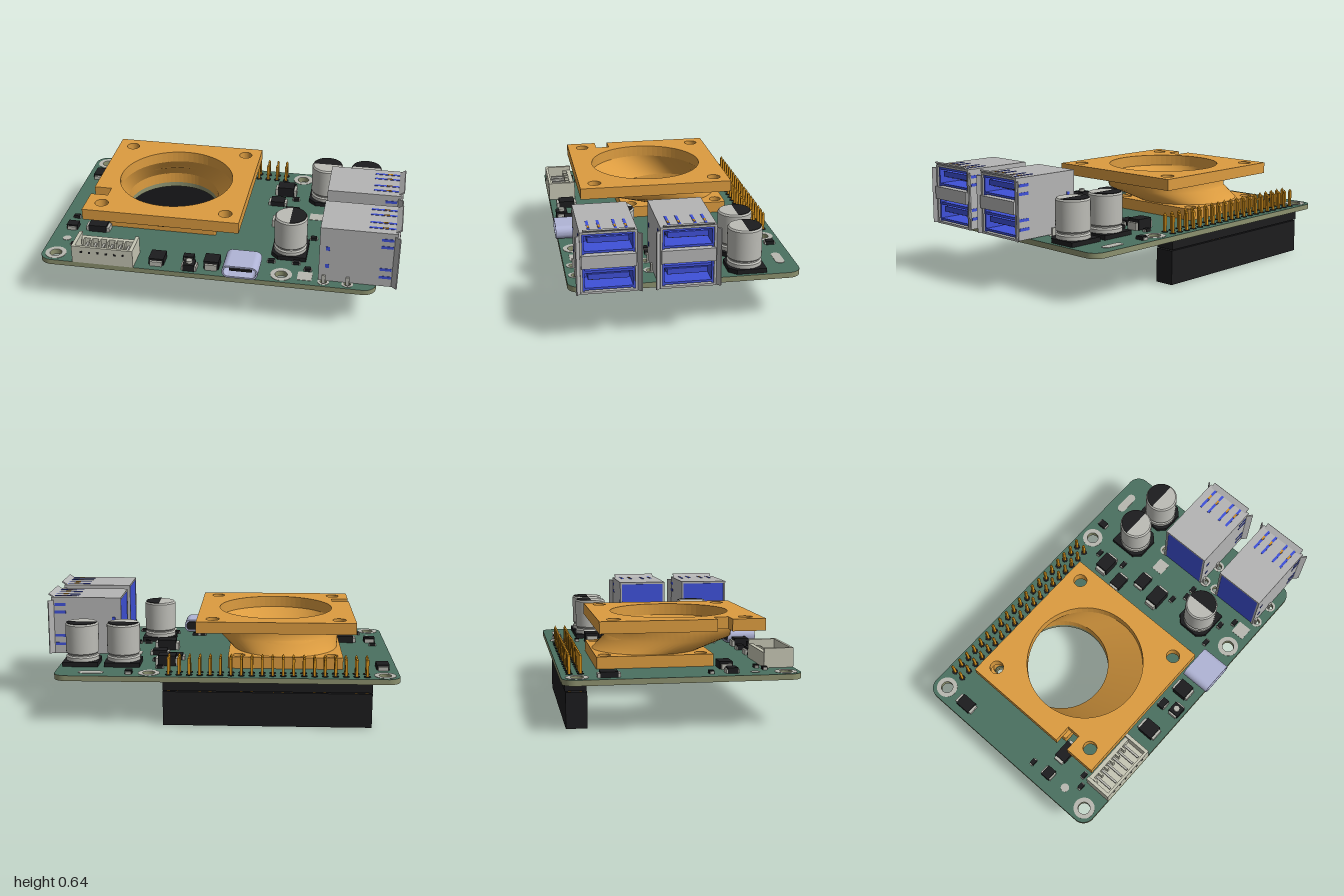
import * as THREE from 'three';
import { mergeGeometries } from 'three/addons/utils/BufferGeometryUtils.js';

const mat = (color, side = THREE.FrontSide) => new THREE.MeshStandardMaterial({ color, side });
const M = {
  green: mat(0x4a7060), edge: mat(0x8c916e), orange: mat(0xdc9c40, THREE.DoubleSide), black: mat(0x1c1c1e),
  gold: mat(0xd8931c), steel: mat(0xb4b4b4), blue: mat(0x3f51d8), lilac: mat(0xb0b4d6),
  cream: mat(0xc6c6b4), can: mat(0xbcbcb6), pad: mat(0xb8b8b0), white: mat(0xdedede),
};

const mesh = (name, geo, m) => {
  const o = new THREE.Mesh(geo, m);
  o.name = name;
  return o;
};
// box given by its x, y and z ranges
const box = (x0, x1, y0, y1, z0, z1) =>
  new THREE.BoxGeometry(x1 - x0, y1 - y0, z1 - z0).translate((x0 + x1) / 2, (y0 + y1) / 2, (z0 + z1) / 2);
const boxes = (name, list, m) => mesh(name, mergeGeometries(list.map((b) => box(...b))), m);

// rounded rectangle in plan; shape y is -z
function plan(x0, x1, z0, z1, r) {
  const s = new THREE.Shape();
  s.absarc(x1 - r, -z0 - r, r, 0, Math.PI / 2);
  s.absarc(x0 + r, -z0 - r, r, Math.PI / 2, Math.PI);
  s.absarc(x0 + r, -z1 + r, r, Math.PI, Math.PI * 1.5);
  s.absarc(x1 - r, -z1 + r, r, Math.PI * 1.5, Math.PI * 2);
  s.closePath();
  return s;
}
const hole = (s, x, z, r) => s.holes.push(new THREE.Path().absarc(x, -z, r, 0, Math.PI * 2, true));
const slab = (s, y, h, curveSegments = 32) =>
  new THREE.ExtrudeGeometry(s, { depth: h, bevelEnabled: false, curveSegments }).rotateX(-Math.PI / 2).translate(0, y, 0);
const ring = (x, z, r0, r1, y, h) => {
  const s = new THREE.Shape().absarc(x, -z, r1, 0, Math.PI * 2);
  hole(s, x, z, r0);
  return slab(s, y, h, 16);
};

// tube skin through circles [y, centreX, centreZ, radius]
function loft(rings, n = 64) {
  const pos = [], idx = [];
  rings.forEach(([y, cx, cz, r], j) => {
    for (let i = 0; i <= n; i++) {
      const a = (i / n) * Math.PI * 2;
      pos.push(cx + r * Math.cos(a), y, cz + r * Math.sin(a));
      if (j && i < n) {
        const b = j * (n + 1) + i, p = b - n - 1;
        idx.push(p, p + 1, b, b, p + 1, b + 1);
      }
    }
  });
  const g = new THREE.BufferGeometry();
  g.setAttribute('position', new THREE.Float32BufferAttribute(pos, 3));
  g.setIndex(idx);
  g.computeVertexNormals();
  return g;
}

const TOP = 0.28, BOT = 0.25;
const DUCT = [-0.38, -0.12];
const tabs = [0.605, 0.735].flatMap((x) => [-0.155, 0.165, 0.245, 0.565].map((z) => [x, z]));
const ductScrews = [-0.26, 0.26].flatMap((a) => [-0.26, 0.26].map((b) => [DUCT[0] + a, DUCT[1] + b]));

function circuitBoard() {
  const g = new THREE.Group();
  g.name = 'circuitBoard';
  const s = plan(-1, 0.89, -0.63, 0.61, 0.07);
  const mounts = [-0.92, 0.37].flatMap((x) => [-0.55, 0.535].map((z) => [x, z]));
  mounts.forEach(([x, z]) => hole(s, x, z, 0.034));
  tabs.forEach(([x, z]) => hole(s, x, z, 0.018));
  ductScrews.forEach(([x, z]) => hole(s, x, z, 0.03));
  hole(s, ...DUCT, 0.27);
  g.add(mesh('board', slab(s, BOT, TOP - BOT), [M.green, M.edge]));
  const both = (x, z, a, b) => [ring(x, z, a, b, TOP, 0.002), ring(x, z, a, b, BOT - 0.002, 0.002)];
  g.add(mesh('mountingRings', mergeGeometries(mounts.flatMap(([x, z]) => both(x, z, 0.034, 0.06))), M.pad));
  g.add(mesh('tabRings', mergeGeometries(tabs.flatMap(([x, z]) => both(x, z, 0.018, 0.032))), M.pad));
  g.add(mesh('screwRings', mergeGeometries(ductScrews.map(([x, z]) => ring(x, z, 0.022, 0.034, BOT - 0.002, 0.002))), M.edge));
  // printed blocks
  g.add(mesh('printedOval', slab(plan(0.62, 0.76, -0.575, -0.525, 0.024), TOP, 0.002, 8), M.pad));
  g.add(boxes('printedBlocks', [[0.46, 0.54, TOP, 0.282, -0.14, -0.07], [0.46, 0.54, TOP, 0.282, 0.49, 0.57]], M.pad));
  return g;
}

function fanDuct() {
  const g = new THREE.Group();
  g.name = 'fanDuct';
  const c = [-0.325, 0.02];
  // upper flange with a notch in its left edge
  const up = new THREE.Shape([[-0.77, 0.465], [0.12, 0.465], [0.12, -0.42], [-0.77, -0.42],
    [-0.77, 0.205], [-0.67, 0.205], [-0.67, 0.285], [-0.77, 0.285]].map(([x, z]) => new THREE.Vector2(x, -z)));
  hole(up, ...c, 0.33);
  for (const x of [-0.68, 0.03]) for (const z of [-0.335, 0.375]) hole(up, x, z, 0.038);
  g.add(mesh('upperFlange', slab(up, 0.475, 0.065), M.orange));
  const low = plan(DUCT[0] - 0.32, DUCT[0] + 0.32, DUCT[1] - 0.31, DUCT[1] + 0.32, 0.01);
  hole(low, ...DUCT, 0.27);
  ductScrews.forEach(([x, z]) => hole(low, x, z, 0.034));
  g.add(mesh('lowerFlange', slab(low, TOP, 0.065), M.orange));
  g.add(mesh('ductOuter', loft([[0.475, -0.34, 0.015, 0.36], [0.41, -0.34, 0.01, 0.355], [0.345, ...DUCT, 0.3]]), M.orange));
  g.add(mesh('ductInner', loft([[0.475, ...c, 0.33], [0.345, ...DUCT, 0.27]]), M.orange));
  return g;
}

function pinHeader() {
  const g = new THREE.Group();
  g.name = 'pinHeader';
  g.add(boxes('headerBlocks', [[-0.85, 0.29, 0, 0.19, -0.604, -0.493], [-0.85, 0.29, 0.197, BOT, -0.608, -0.497]], M.black));
  const pins = [], pads = [];
  for (let i = 0; i < 20; i++) for (const z of [-0.582, -0.524]) {
    const x = -0.82 + i * 0.0568;
    pins.push(box(x - 0.007, x + 0.007, 0.15, 0.375, z - 0.007, z + 0.007));
    pins.push(new THREE.ConeGeometry(0.01, 0.014, 4).rotateY(Math.PI / 4).translate(x, 0.382, z));
    pads.push(ring(x, z, 0.008, 0.018, TOP, 0.003));
  }
  g.add(mesh('headerPins', mergeGeometries(pins), M.gold));
  g.add(mesh('headerPads', mergeGeometries(pads), M.black));
  return g;
}

// double-stacked socket, opening toward +x, centred on z = 0
function usbSocket(cz) {
  const g = new THREE.Group();
  g.name = 'usbSocket';
  const steel = [[0.575, 0.985, 0.605, 0.617, -0.145, 0.145], [0.6, 0.985, 0.283, 0.295, -0.145, 0.145],
    [0.76, 0.99, 0.425, 0.495, -0.135, 0.135], [0.985, 0.998, 0.425, 0.495, -0.14, 0.14]];
  const blue = [[0.578, 0.84, 0.285, 0.604, -0.132, 0.132]], gold = [], dark = [];
  for (const s of [-1, 1]) {
    steel.push([0.575, 0.985, 0.285, 0.617, s * 0.139 - 0.006, s * 0.139 + 0.006]);
    blue.push([0.8, 0.975, 0.295, 0.604, s * 0.128 - 0.005, s * 0.128 + 0.005]);
    // flared lips
    const side = mesh('sideLip', box(-0.008, 0.032, 0.285, 0.6, -0.004, 0.004), M.steel);
    side.position.set(0.975, 0, s * 0.145);
    side.rotation.y = -s * 0.75;
    g.add(side);
    // spring tongues in the roof and side walls
    for (const k of [0.04, 0.095]) {
      blue.push([0.83, 0.97, 0.612, 0.619, s * k - 0.007, s * k + 0.007]);
      gold.push([0.9, 0.93, 0.612, 0.621, s * k - 0.005, s * k + 0.005]);
    }
    for (const y of [0.34, 0.39, 0.53, 0.575]) blue.push([0.9, 0.965, y - 0.008, y + 0.008, s * 0.142 - 0.005, s * 0.142 + 0.005]);
    for (const y of [0.38, 0.49]) blue.push([0.61, 0.63, y - 0.012, y + 0.012, s * 0.142 - 0.005, s * 0.142 + 0.005]);
  }
  for (const y of [0.3, 0.5]) {
    blue.push([0.8, 0.96, y + 0.05, y + 0.08, -0.105, 0.105], [0.8, 0.975, y, y + 0.012, -0.13, 0.13]);
    blue.push([0.8, 0.97, y + 0.09, y + 0.104, -0.13, 0.13]);
    for (let i = -2; i <= 2; i++) {
      gold.push([0.84, 0.95, y + 0.045, y + 0.051, i * 0.04 - 0.008, i * 0.04 + 0.008]);
      dark.push([0.838, 0.845, y + 0.02, y + 0.04, i * 0.045 - 0.01, i * 0.045 + 0.01]);
    }
  }
  const top = mesh('topLip', box(-0.005, 0.035, -0.004, 0.004, -0.13, 0.13), M.steel);
  top.position.set(0.972, 0.614, 0);
  top.rotation.z = 0.6;
  const legs = [];
  for (let i = 0; i < 4; i++) for (const x of [0.62, 0.67, 0.72, 0.77]) {
    const z = -0.09 + i * 0.06;
    legs.push([x - 0.007, x + 0.007, 0.235, 0.29, z - 0.007, z + 0.007]);
  }
  for (const x of [0.605, 0.735]) for (const s of [-1, 1]) legs.push([x - 0.01, x + 0.01, 0.232, 0.32, s * 0.15 - 0.005, s * 0.15 + 0.005]);
  g.add(boxes('shell', steel, M.steel), boxes('insulator', blue, M.blue), boxes('contacts', gold, M.gold),
    boxes('contactSlots', dark, M.black), boxes('socketLegs', legs, M.pad), top);
  g.position.z = cz;
  return g;
}

function capacitor(x, z, turn) {
  const g = new THREE.Group();
  g.name = 'capacitor';
  const base = new THREE.Shape([[-0.1, -0.1], [0.06, -0.1], [0.1, -0.06], [0.1, 0.06], [0.06, 0.1], [-0.1, 0.1]].map((p) => new THREE.Vector2(...p)));
  g.add(mesh('capacitorBase', slab(base, TOP, 0.025).rotateY(Math.PI), M.black));
  const r = 0.093;
  const profile = [[0, 0.3], [r, 0.3], [r, 0.325], [r - 0.008, 0.333], [r - 0.008, 0.34], [r, 0.348], [r, 0.508], [r - 0.008, 0.517], [0, 0.517]];
  // separate bands keep the rims crisp
  for (let i = 0; i < profile.length - 1; i++)
    g.add(mesh('can', new THREE.LatheGeometry([profile[i], profile[i + 1]].map((p) => new THREE.Vector2(...p)), 40), M.can));
  g.add(mesh('polarityMark', new THREE.CylinderGeometry(r - 0.007, r - 0.007, 0.003, 24, 1, false, 0, Math.PI).translate(0, 0.518, 0), M.black));
  g.position.set(x, 0, z);
  g.rotation.y = turn;
  return g;
}

function frontConnectors() {
  const g = new THREE.Group();
  g.name = 'frontConnectors';
  // open-topped wire connector
  const walls = [[-0.8, -0.45, TOP, 0.3, 0.45, 0.61], [-0.8, -0.45, TOP, 0.385, 0.595, 0.61], [-0.8, -0.45, TOP, 0.36, 0.45, 0.475],
    [-0.8, -0.78, TOP, 0.385, 0.45, 0.61], [-0.47, -0.45, TOP, 0.385, 0.45, 0.61]];
  const pins = [], dots = [];
  for (let i = 0; i < 6; i++) {
    const x = -0.745 + i * 0.048;
    walls.push([x - 0.03, x - 0.018, 0.3, 0.36, 0.47, 0.5]);
    pins.push([x - 0.006, x + 0.006, 0.32, 0.332, 0.47, 0.58], [x - 0.005, x + 0.005, 0.215, 0.29, 0.5, 0.51]);
    dots.push([x - 0.006, x + 0.006, 0.345, 0.357, 0.605, 0.612]);
  }
  g.add(boxes('wireConnector', walls, M.cream), boxes('wirePins', pins, M.pad), boxes('wireSlots', dots, M.black));
  // rounded power port, opening toward the front
  const s = plan(-0.1, 0.1, -0.038, 0.038, 0.036);
  s.holes.push(new THREE.Path(plan(-0.09, 0.09, -0.028, 0.028, 0.026).getPoints(8).reverse()));
  g.add(mesh('powerPortShell', new THREE.ExtrudeGeometry(s, { depth: 0.17, bevelEnabled: false }).translate(0.152, 0.323, 0.452), M.lilac));
  g.add(boxes('powerPortCore', [[0.065, 0.24, 0.297, 0.349, 0.453, 0.5], [0.09, 0.215, 0.317, 0.329, 0.5, 0.6]], M.black));
  return g;
}

function smallParts() {
  const g = new THREE.Group();
  g.name = 'smallParts';
  // x, z, width, depth, height, metal ends along x (1) or z (0)
  const chips = [[-0.92, -0.39, 0.07, 0.12, 0.03, 0], [0.285, -0.36, 0.13, 0.08, 0.06, 1], [0.25, -0.23, 0.11, 0.07, 0.03, 1],
    [0.35, -0.12, 0.11, 0.07, 0.03, 1], [0.32, 0.015, 0.14, 0.08, 0.06, 1], [-0.75, 0.245, 0.14, 0.07, 0.04, 1],
    [-0.905, 0.25, 0.065, 0.07, 0.03, 0], [-0.33, 0.515, 0.085, 0.12, 0.04, 0], [-0.02, 0.51, 0.085, 0.11, 0.05, 0],
    [-0.16, 0.475, 0.06, 0.05, 0.03, 0], [-0.14, 0.56, 0.085, 0.065, 0.04, 1], [0.48, -0.56, 0.04, 0.06, 0.02, 0]];
  const tiny = [[-0.915, 0.14], [0.175, 0.375], [0.13, 0.375], [0.355, -0.285], [0.32, -0.445], [0.3, 0.42], [0.44, 0.415],
    [0.45, 0.145], [0.51, 0.145], [0.38, 0.09], [-0.84, 0.44], [-0.78, 0.41], [0.51, 0.47]];
  tiny.forEach(([x, z]) => chips.push([x, z, 0.045, 0.025, 0.018, 1]));
  const bodies = [], ends = [];
  for (const [x, z, w, d, h, alongX] of chips) {
    const bw = alongX ? w * 0.38 : w / 2, bd = alongX ? d / 2 : d * 0.38;
    bodies.push([x - bw, x + bw, TOP, TOP + h, z - bd, z + bd]);
    const ew = alongX ? w / 2 : w * 0.4, ed = alongX ? d * 0.4 : d / 2;
    ends.push([x - ew, x + ew, TOP, TOP + h * 0.7, z - ed, z + ed]);
  }
  g.add(boxes('chipBodies', bodies, M.black), boxes('chipLeads', ends, M.pad));
  g.add(mesh('buttonCap', new THREE.CylinderGeometry(0.018, 0.018, 0.015, 20).translate(-0.14, 0.327, 0.56), M.pad));
  g.add(mesh('testPad', ring(-0.905, 0.375, 0.001, 0.024, TOP, 0.002), M.pad));
  return g;
}

export function createModel() {
  const model = new THREE.Group();
  model.name = 'expansionBoard';
  model.add(circuitBoard(), fanDuct(), pinHeader(), usbSocket(0.005), usbSocket(0.41), frontConnectors(), smallParts());
  model.add(capacitor(0.535, -0.34, Math.PI / 2), capacitor(0.77, -0.34, Math.PI / 2), capacitor(0.39, 0.29, 0));
  return model;
}
